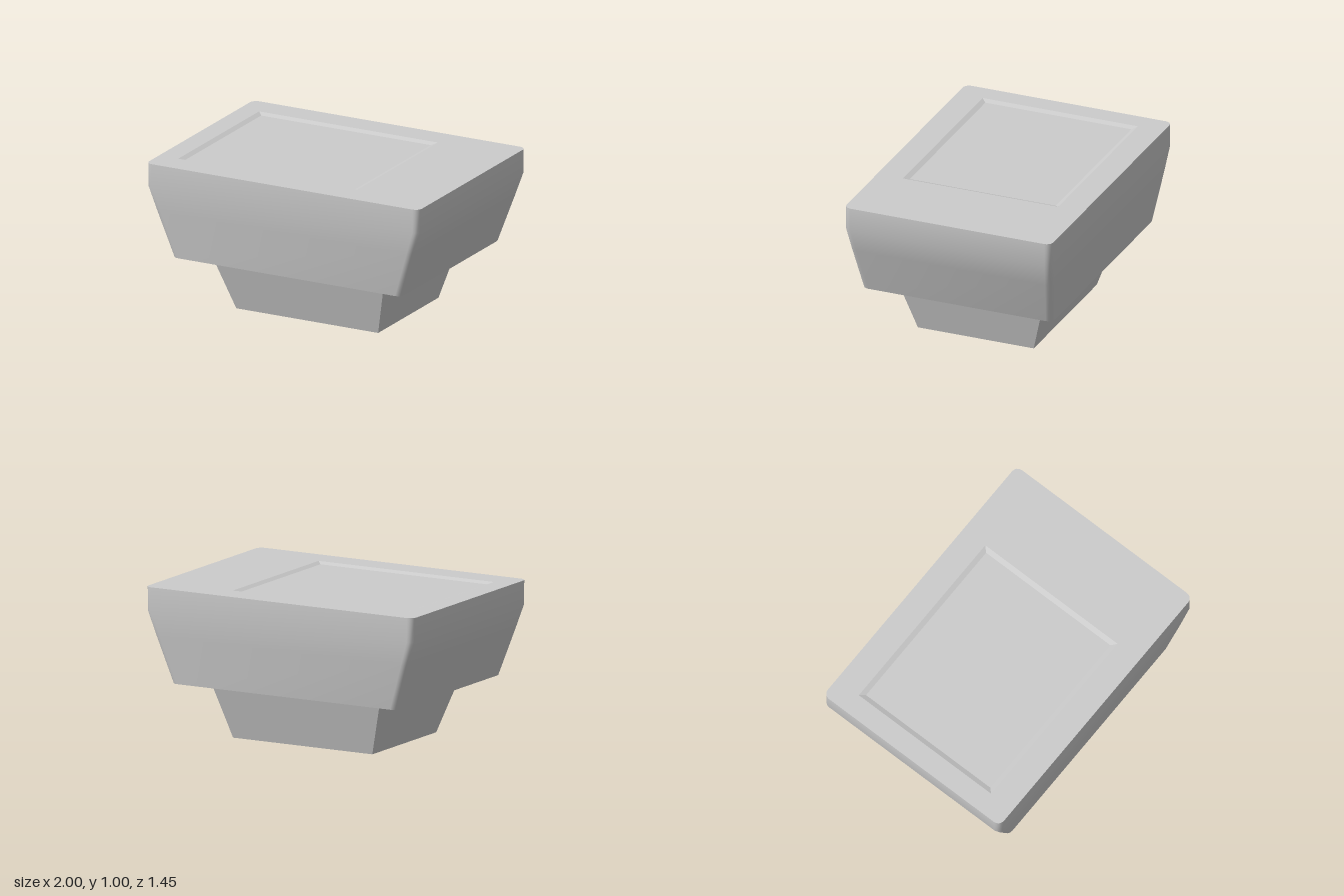
import * as THREE from 'three';
import { toCreasedNormals } from 'three/addons/utils/BufferGeometryUtils.js';

const material = new THREE.MeshStandardMaterial({ color: 0xcccccc });

// Rounded rectangle outline, counter-clockwise seen from above (y of the outline is -z)
function outline(x0, x1, halfZ, r = 0, steps = 4) {
  const corners = [[x1, halfZ, -1, -1, 0], [x0, halfZ, 1, -1, 1], [x0, -halfZ, 1, 1, 2], [x1, -halfZ, -1, 1, 3]];
  const points = [];
  for (const [x, y, sx, sy, q] of corners) {
    if (r === 0) { points.push(new THREE.Vector2(x, y)); continue; }
    for (let i = 0; i <= steps; i++) {
      const a = (q + i / steps) * Math.PI / 2;
      points.push(new THREE.Vector2(x + sx * r + r * Math.cos(a), y + sy * r + r * Math.sin(a)));
    }
  }
  return points;
}

// Skin over a stack of outlines [y, points]; capStart / capEnd close the ends
function loft(sections, capStart, capEnd) {
  const rings = sections.map(([y, pts]) => pts.map(p => new THREE.Vector3(p.x, y, -p.y)));
  const n = rings[0].length, out = [];
  const tri = (...v) => v.forEach(p => out.push(p.x, p.y, p.z));
  for (let i = 0; i < rings.length - 1; i++) {
    for (let j = 0; j < n; j++) {
      const k = (j + 1) % n, a = rings[i], b = rings[i + 1];
      tri(a[j], a[k], b[k]);
      tri(a[j], b[k], b[j]);
    }
  }
  const cap = (ring, flip) => {
    const c = ring.reduce((s, p) => s.add(p), new THREE.Vector3()).divideScalar(n);
    ring.forEach((p, j) => {
      const q = ring[(j + 1) % n];
      flip ? tri(c, q, p) : tri(c, p, q);
    });
  };
  if (capStart) cap(rings[0], true);
  if (capEnd) cap(rings[rings.length - 1], false);
  const g = new THREE.BufferGeometry();
  g.setAttribute('position', new THREE.Float32BufferAttribute(out, 3));
  return toCreasedNormals(g, 0.6);
}

export function createModel() {
  const model = new THREE.Group();
  const add = (name, geometry) => {
    const mesh = new THREE.Mesh(geometry, material);
    mesh.name = name;
    model.add(mesh);
  };

  // Tapered foot, slightly off-centre at the ground
  add('foot', loft([
    [0, outline(-0.51, 0.53, 0.405)],
    [0.37, outline(-0.63, 0.63, 0.513)],
  ], true, true));

  // Flared body with rounded vertical corners: [y, half width, half depth]
  const profile = [[0.37, 0.84, 0.665], [0.68, 0.945, 0.705], [0.84, 0.998, 0.723], [1, 1, 0.723]];
  add('body', loft(profile.map(([y, x, z]) => [y, outline(-x, x, z, 0.045)]), true, false));

  // Top surface with an opening for the shallow recess
  const rim = outline(-0.86, 0.45, 0.543);
  const top = new THREE.Shape(outline(-1, 1, 0.723, 0.045));
  top.holes.push(new THREE.Path(rim.slice().reverse()));
  add('topSurface', new THREE.ShapeGeometry(top).rotateX(-Math.PI / 2).translate(0, 1, 0));

  // Recess: sloped walls and a flat floor
  add('topRecess', loft([
    [1, rim],
    [0.987, outline(-0.827, 0.417, 0.51)],
  ], false, true).toNonIndexed().deleteAttribute('normal'));
  const recess = model.getObjectByName('topRecess');
  recess.geometry.computeVertexNormals();

  return model;
}
